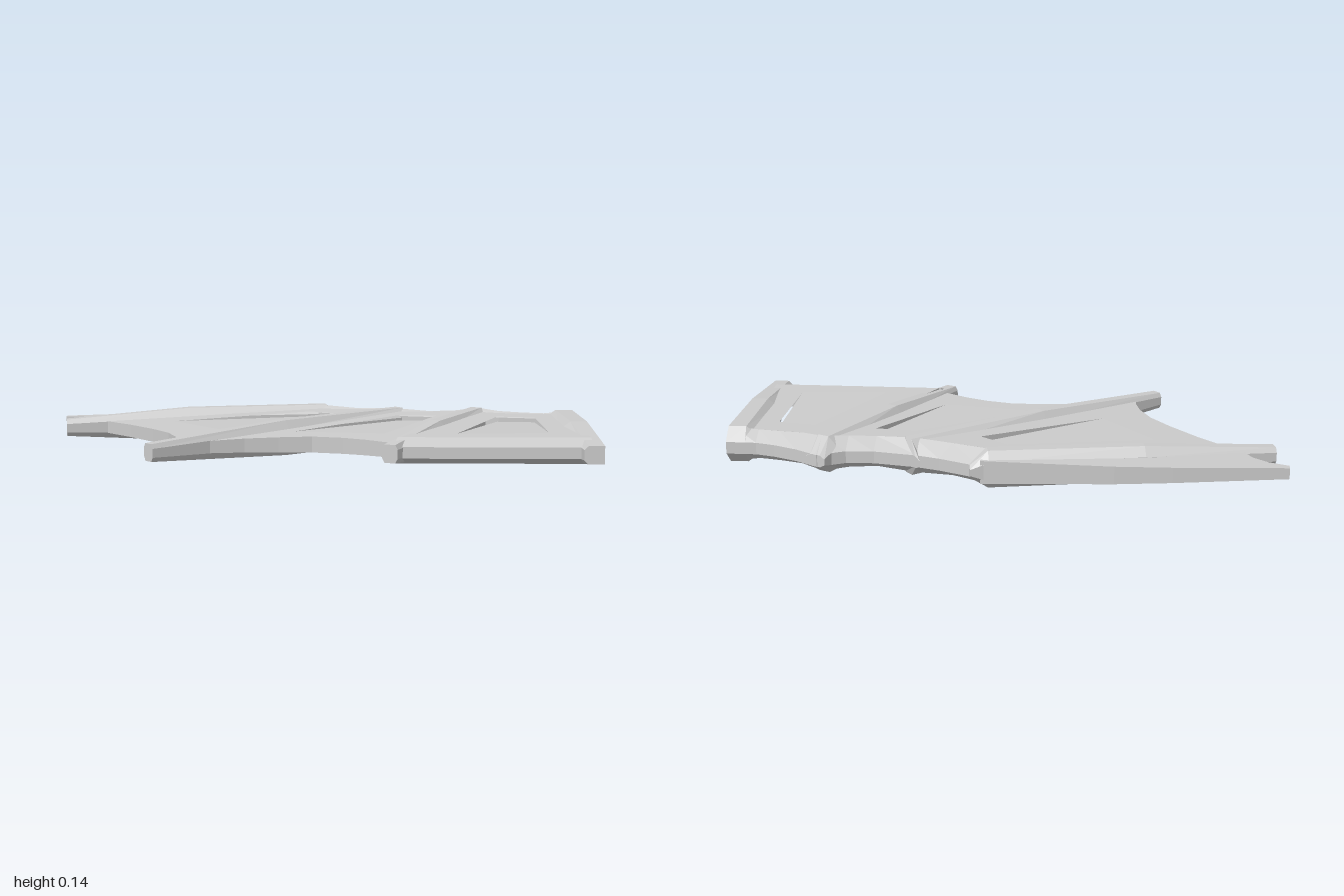
import * as THREE from 'three';

const MID = 0.0675; // height of the wing's mirror plane
const EDGE = 0.022; // half thickness of thin edges
const material = new THREE.MeshStandardMaterial({ color: 0xcccccc, flatShading: true });

function mesh(name, geometry) {
  const m = new THREE.Mesh(geometry, material);
  m.name = name;
  return m;
}

// Half thickness as a sloping plane through three [x, z, h] points
function slope([a, b, c]) {
  const d = (b[0] - a[0]) * (c[1] - a[1]) - (c[0] - a[0]) * (b[1] - a[1]);
  return (x, z) => {
    const u = ((x - a[0]) * (c[1] - a[1]) - (c[0] - a[0]) * (z - a[1])) / d;
    const v = ((b[0] - a[0]) * (z - a[1]) - (x - a[0]) * (b[1] - a[1])) / d;
    return a[2] + u * (b[2] - a[2]) + v * (c[2] - a[2]);
  };
}

// Plate with an [x, z] outline, an optional cut-out and a varying thickness
function plate(name, outline, half, hole) {
  const flip = (pts) => pts.map(([x, z]) => new THREE.Vector2(x, -z));
  const shape = new THREE.Shape(flip(outline));
  if (hole) shape.holes.push(new THREE.Path(flip(hole)));
  const g = new THREE.ExtrudeGeometry(shape, { depth: 1, bevelEnabled: false });
  g.rotateX(-Math.PI / 2);
  const p = g.attributes.position;
  for (let i = 0; i < p.count; i++) {
    const h = half(p.getX(i), p.getZ(i));
    p.setY(i, MID + (p.getY(i) > 0.5 ? h : -h));
  }
  g.computeVertexNormals();
  return mesh(name, g);
}

// Solid skinned over a row of rings of [x, y, z] points, y measured from MID
function loft(name, rings) {
  const n = rings[0].length, tris = [];
  for (let i = 0; i < rings.length - 1; i++) {
    for (let j = 0; j < n; j++) {
      const k = (j + 1) % n, [r, s] = [rings[i], rings[i + 1]];
      tris.push([r[j], r[k], s[k]], [r[j], s[k], s[j]]);
    }
  }
  const first = rings[0], last = rings[rings.length - 1];
  for (let j = 1; j < n - 1; j++) {
    tris.push([first[0], first[j + 1], first[j]], [last[0], last[j], last[j + 1]]);
  }
  // Turn all faces outwards according to the signed volume
  const vec = (t) => new THREE.Vector3(...t);
  const volume = tris.reduce((s, [a, b, c]) => s + vec(a).dot(vec(b).cross(vec(c))), 0);
  if (volume < 0) tris.forEach((t) => t.reverse());
  const g = new THREE.BufferGeometry();
  g.setAttribute('position', new THREE.Float32BufferAttribute(tris.flat(2), 3));
  g.translate(0, MID, 0);
  g.computeVertexNormals();
  return mesh(name, g);
}

// Finger bone: stations of [x, z, half height, half base width, half crest width]
function finger(name, stations) {
  const a = stations[1], b = stations[stations.length - 1];
  const len = Math.hypot(b[0] - a[0], b[1] - a[1]);
  const px = -(b[1] - a[1]) / len, pz = (b[0] - a[0]) / len;
  return loft(name, stations.map(([x, z, h, wb, wt]) =>
    [[-wb, -0.5], [-wt, -1], [wt, -1], [wb, -0.5], [wb, 0.5], [wt, 1], [-wt, 1], [-wb, 0.5]]
      .map(([w, k]) => [x + px * w, k * h, z + pz * w])));
}

// Membrane with a wedge-shaped recess: [tail, apex, apex, tail]
function membrane(name, outline, plane, recess) {
  const group = new THREE.Group();
  group.name = name;
  const half = slope(plane);
  group.add(plate(name + 'Skin', outline, half, recess));
  if (recess) {
    const [t0, a0, , t1] = recess;
    const at = ([x, z], depth) => [x, z, half(x, z) - depth];
    group.add(plate(name + 'Recess', recess, slope([at(t0, 0), at(a0, 0.02), at(t1, 0)])));
  }
  return group;
}

export function createModel() {
  const wing = new THREE.Group();
  wing.name = 'wing';

  // Membranes between the bones
  wing.add(membrane('tipMembrane',
    [[-1, -0.4], [-0.6, -0.45], [-0.4, -0.467], [0.06, -0.475], [0.06, -0.42], [-0.5, -0.32],
      [-0.86, -0.23], [-0.86, -0.27], [-0.88, -0.31], [-0.93, -0.35], [-1, -0.375]],
    [[0.03, -0.42, 0.042], [-1, -0.4, 0.02], [-0.86, -0.27, 0.025]]));
  wing.add(membrane('outerMembrane',
    [[0.05, -0.41], [0.17, -0.345], [0.31, -0.31], [-0.115, 0.06], [-0.48, 0.37], [-0.475, 0.3],
      [-0.49, 0.22], [-0.53, 0.12], [-0.6, 0.02], [-0.7, -0.1], [-0.8, -0.2], [-0.86, -0.25],
      [-0.86, -0.23], [-0.5, -0.32]],
    [[0.1, -0.35, 0.055], [-0.86, -0.25, EDGE], [-0.48, 0.3, EDGE]],
    [[-0.54, -0.16], [-0.02, -0.315], [0.08, -0.24], [-0.35, 0.07]]));
  wing.add(membrane('middleMembrane',
    [[0.31, -0.31], [0.45, -0.28], [0.55, -0.29], [0.635, -0.32], [0.45, 0.065], [0.3, 0.39],
      [0.27, 0.365], [0.19, 0.31], [0.11, 0.27], [0, 0.24], [-0.12, 0.25], [-0.24, 0.27],
      [-0.36, 0.31], [-0.42, 0.32], [-0.115, 0.06]],
    [[0.45, -0.25, 0.055], [-0.36, 0.31, EDGE], [0.27, 0.37, 0.026]],
    [[-0.07, 0.14], [0.32, -0.19], [0.47, -0.18], [0.26, 0.19]]));
  wing.add(membrane('innerMembrane',
    [[0.64, -0.32], [0.72, -0.27], [0.89, -0.23], [0.97, -0.23], [0.97, 0.37], [0.31, 0.37],
      [0.45, 0.065]],
    [[0.7, -0.25, 0.053], [0.31, 0.37, 0.046], [0.95, 0.37, 0.046]],
    [[0.51, 0.29], [0.7, -0.155], [0.84, -0.13], [0.84, 0.26]]));

  // Sloping rear lip of the inner membrane
  wing.add(plate('rearLip', [[0.3, 0.37], [0.97, 0.37], [0.97, 0.43], [0.28, 0.43]],
    slope([[0, 0.37, 0.046], [1, 0.37, 0.046], [0, 0.43, 0.02]])));

  // Finger bones
  wing.add(finger('outerFinger', [
    [0.1, -0.455, EDGE, 0.03, 0.012], [0.04, -0.42, MID, 0.052, 0.02],
    [-0.5, -0.32, 0.065, 0.045, 0.018], [-0.965, -0.2, 0.032, 0.03, 0.018]]));
  wing.add(finger('middleFinger', [
    [0.31, -0.372, EDGE, 0.05, 0.02], [0.33, -0.32, MID, 0.056, 0.02],
    [-0.115, 0.055, 0.065, 0.042, 0.02], [-0.56, 0.44, 0.031, 0.027, 0.018]]));
  wing.add(finger('innerFinger', [
    [0.65, -0.4, EDGE, 0.04, 0.02], [0.635, -0.32, MID, 0.06, 0.022],
    [0.45, 0.065, 0.066, 0.045, 0.02], [0.27, 0.455, 0.032, 0.029, 0.02]]));

  // Leading bone: [edge x, edge z, crest x, crest z, crest half height]
  const leading = [
    [0.06, -0.475, 0.03, -0.41, 0.065], [0.21, -0.407, 0.17, -0.345, 0.06],
    [0.29, -0.38, 0.31, -0.31, 0.065], [0.45, -0.35, 0.45, -0.28, 0.057],
    [0.55, -0.355, 0.55, -0.29, 0.059], [0.645, -0.405, 0.64, -0.32, 0.066],
    [0.73, -0.35, 0.72, -0.27, 0.059], [0.82, -0.31, 0.81, -0.25, 0.056],
    [0.89, -0.29, 0.89, -0.235, 0.055], [0.98, -0.29, 0.98, -0.24, 0.064]];
  wing.add(loft('leadingBone', leading.map(([ex, ez, cx, cz, h]) => {
    const ix = cx + (cx - ex) * 0.6, iz = cz + 0.05;
    return [[ex, -EDGE, ez], [ex, EDGE, ez], [cx, h, cz], [ix, 0.04, iz], [ix, -0.04, iz], [cx, -h, cz]];
  })));

  // Root bar along the body side: [z, half height, base x, crest x]
  const root = [[-0.29, EDGE, 0.9, 0.93], [-0.24, MID, 0.89, 0.935],
    [0.1, MID, 0.9, 0.94], [0.47, 0.032, 0.93, 0.945]];
  wing.add(loft('rootBar', root.map(([z, h, xb, xt]) =>
    [[1, -h, z], [1, h, z], [xt, h, z], [xb, h * 0.55, z], [xb, -h * 0.55, z], [xt, -h, z]])));

  return wing;
}
